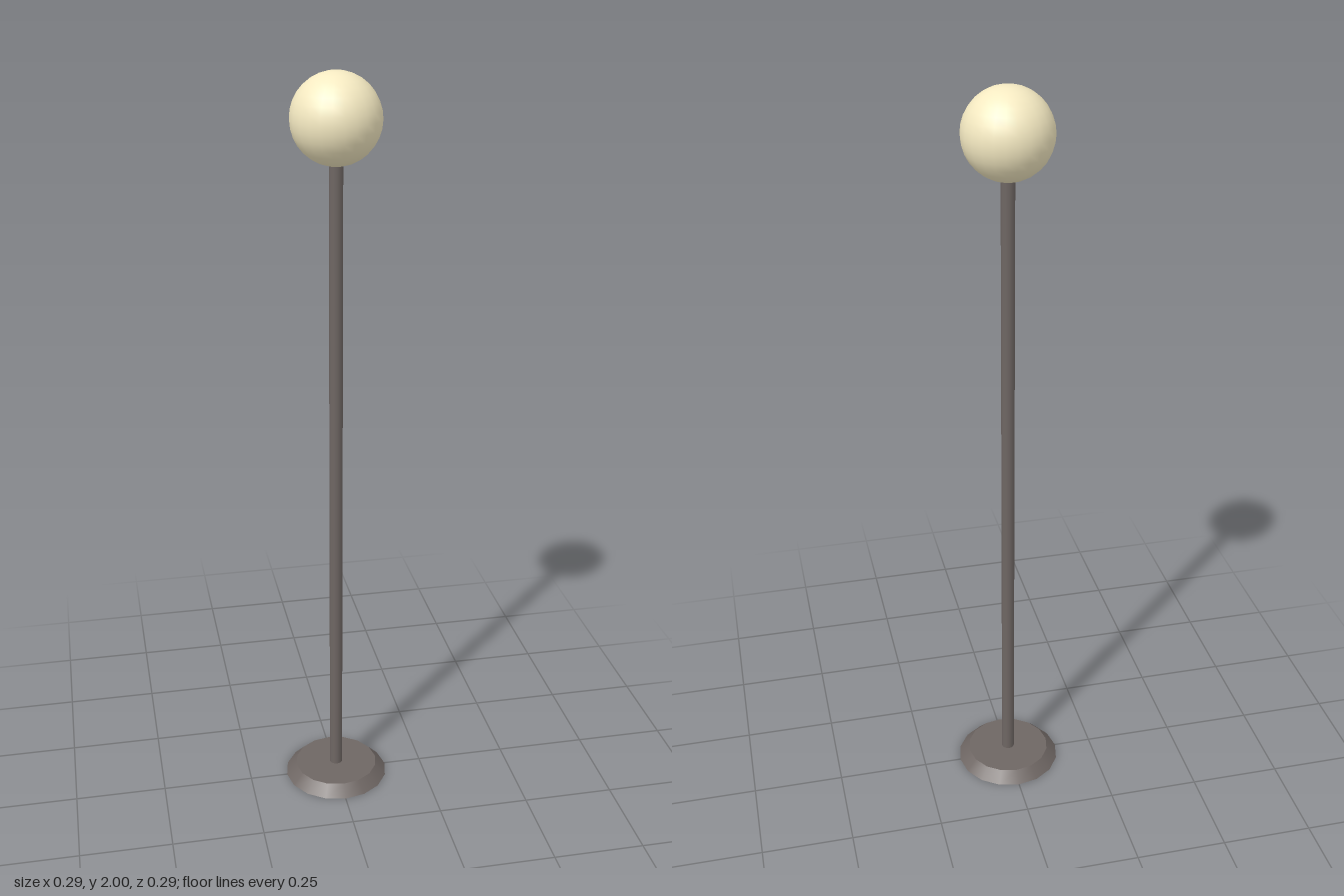
import * as THREE from 'three';

export function createModel() {
  const group = new THREE.Group();
  const metal = new THREE.MeshStandardMaterial({ color: 0x6e6663 });
  const glow = new THREE.MeshStandardMaterial({ color: 0xf5eac2 });

  const add = (name, geometry, material, y) => {
    const mesh = new THREE.Mesh(geometry, material);
    mesh.name = name;
    mesh.position.y = y;
    group.add(mesh);
  };

  const baseHeight = 0.03;
  const globeRadius = 0.114;
  const globeY = 2 - globeRadius;
  const poleTop = globeY - globeRadius + 0.01; // ends just inside the globe

  // Tapered foot
  add('base', new THREE.CylinderGeometry(0.116, 0.145, baseHeight, 16), metal, baseHeight / 2);
  // Slim upright post
  add('pole', new THREE.CylinderGeometry(0.018, 0.018, poleTop - baseHeight, 12), metal, (poleTop + baseHeight) / 2);
  // Round lamp
  add('globe', new THREE.SphereGeometry(globeRadius, 24, 16), glow, globeY);

  return group;
}
